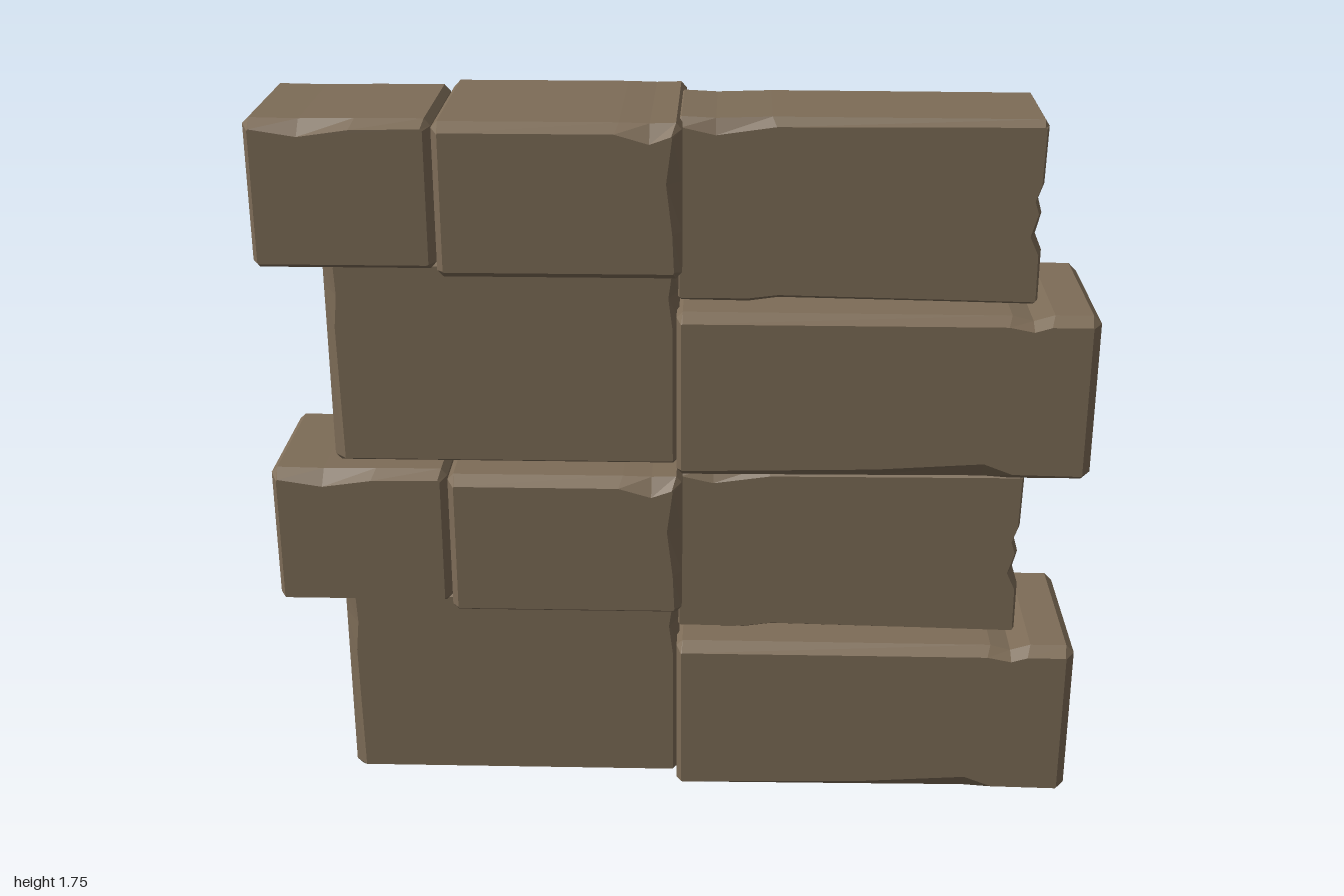
import * as THREE from 'three';

const material = new THREE.MeshStandardMaterial({ color: 0x7d6c57, flatShading: true });

// Chipped stone block. Each row is [x, y, faceX, faceY], counter-clockwise:
// the block's outer outline and the matching bevelled face outline.
function stone(name, rows, halfDepth, bevel) {
  const inner = z => rows.map(r => [r[2], r[3], z]);
  const outer = z => rows.map(r => [r[0], r[1], z]);
  const loops = [inner(-halfDepth), outer(bevel - halfDepth), outer(halfDepth - bevel), inner(halfDepth)];
  const n = rows.length;
  const index = [];
  for (let k = 0; k < 3; k++) {
    for (let i = 0; i < n; i++) {
      const a = k * n + i, b = k * n + (i + 1) % n;
      index.push(a, b, b + n, a, b + n, a + n);
    }
  }
  // front and back faces
  const face = rows.map(r => new THREE.Vector2(r[2], r[3]));
  for (const [a, b, c] of THREE.ShapeUtils.triangulateShape(face, [])) {
    index.push(3 * n + a, 3 * n + b, 3 * n + c, c, b, a);
  }
  const indexed = new THREE.BufferGeometry();
  indexed.setAttribute('position', new THREE.Float32BufferAttribute(loops.flat(2), 3));
  indexed.setIndex(index);
  const geometry = indexed.toNonIndexed();
  geometry.computeVertexNormals();
  const mesh = new THREE.Mesh(geometry, material);
  mesh.name = name;
  return mesh;
}

// One pair of interlocking courses
function createCourse() {
  const course = new THREE.Group();
  course.add(
    stone('longStone', [
      [0.015, 0.003, 0.015, 0.025], [0.48, 0.006, 0.48, 0.035], [0.74, 0.008, 0.74, 0.052],
      [0.81, 0.003, 0.81, 0.025], [0.98, 0.003, 0.975, 0.022], [1, 0.022, 0.977, 0.024],
      [1, 0.4, 0.977, 0.398], [0.98, 0.42, 0.975, 0.4], [0.89, 0.42, 0.88, 0.4],
      [0.84, 0.405, 0.84, 0.388], [0.79, 0.418, 0.78, 0.4], [0.015, 0.42, 0.015, 0.4],
      [0, 0.405, 0.012, 0.398], [0, 0.018, 0.012, 0.027],
    ], 0.238, 0.035),
    stone('recessedStone', [
      [-0.83, 0.005, -0.815, 0.02], [-0.01, 0.005, -0.012, 0.02], [0.005, 0.02, -0.01, 0.022],
      [0.005, 0.38, -0.01, 0.36], [0.005, 0.45, -0.02, 0.44], [0.005, 0.51, -0.01, 0.51],
      [-0.01, 0.53, -0.012, 0.515], [-0.83, 0.53, -0.815, 0.515], [-0.845, 0.515, -0.815, 0.51],
      [-0.845, 0.46, -0.812, 0.44], [-0.845, 0.34, -0.82, 0.36], [-0.845, 0.02, -0.815, 0.022],
    ], 0.17, 0.03),
    stone('narrowStone', [
      [0.01, 0.428, 0.01, 0.438], [0.17, 0.426, 0.17, 0.438], [0.24, 0.436, 0.24, 0.447],
      [0.6, 0.43, 0.6, 0.44], [0.845, 0.425, 0.845, 0.435], [0.855, 0.435, 0.848, 0.437],
      [0.855, 0.56, 0.847, 0.55], [0.838, 0.6, 0.826, 0.595], [0.85, 0.65, 0.842, 0.65],
      [0.84, 0.685, 0.832, 0.68], [0.852, 0.72, 0.845, 0.72], [0.855, 0.855, 0.848, 0.852],
      [0.845, 0.87, 0.843, 0.855], [0.22, 0.872, 0.23, 0.852], [0.09, 0.868, 0.09, 0.832],
      [0.01, 0.872, 0.01, 0.85], [0, 0.86, 0.006, 0.845], [0, 0.438, 0.006, 0.44],
    ], 0.155, 0.02),
    stone('wideStone', [
      [-0.545, 0.505, -0.54, 0.525], [0, 0.505, -0.006, 0.525], [0.013, 0.52, -0.004, 0.53],
      [0.013, 0.62, -0.008, 0.62], [0.013, 0.74, -0.022, 0.74], [0.013, 0.86, -0.008, 0.845],
      [0, 0.875, -0.01, 0.85], [-0.06, 0.873, -0.06, 0.832], [-0.13, 0.875, -0.14, 0.855],
      [-0.545, 0.875, -0.54, 0.855], [-0.56, 0.86, -0.542, 0.852], [-0.56, 0.52, -0.542, 0.528],
    ], 0.248, 0.035),
    stone('endStone', [
      [-0.985, 0.513, -0.98, 0.53], [-0.58, 0.513, -0.585, 0.53], [-0.565, 0.53, -0.58, 0.532],
      [-0.565, 0.855, -0.58, 0.85], [-0.58, 0.872, -0.585, 0.855], [-0.74, 0.872, -0.75, 0.852],
      [-0.87, 0.87, -0.87, 0.835], [-0.985, 0.872, -0.98, 0.852],
      [-1, 0.858, -0.983, 0.848], [-1, 0.53, -0.983, 0.532],
    ], 0.212, 0.036),
  );
  return course;
}

export function createModel() {
  const wall = new THREE.Group();
  wall.name = 'stoneWallEdge';
  ['lowerCourses', 'upperCourses'].forEach((name, i) => {
    const course = createCourse();
    course.name = name;
    course.position.y = 0.875 * i;
    wall.add(course);
  });
  return wall;
}
